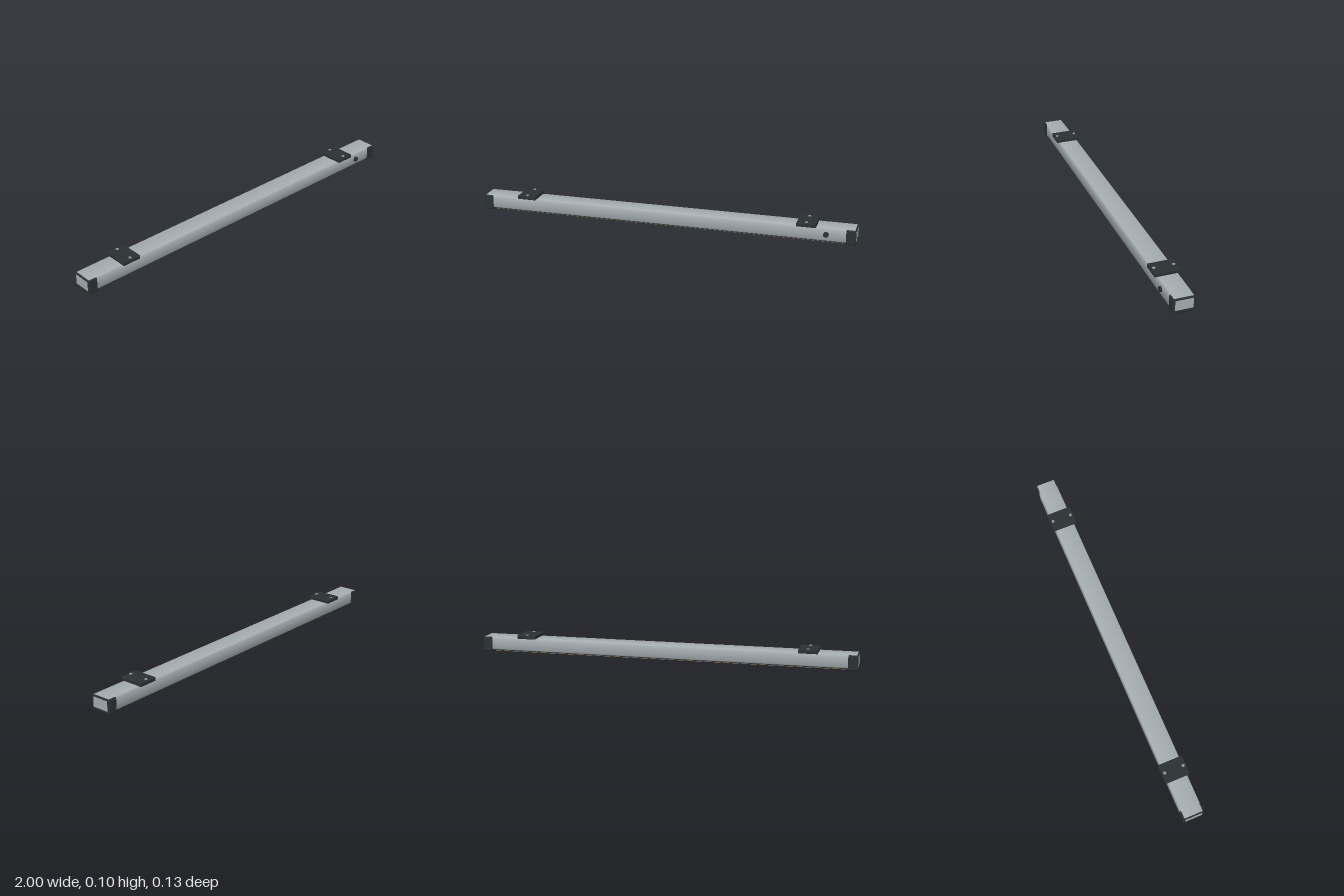
import * as THREE from 'three';
import { RoundedBoxGeometry } from 'three/addons/geometries/RoundedBoxGeometry.js';
import { toCreasedNormals } from 'three/addons/utils/BufferGeometryUtils.js';

const paint = (color) => new THREE.MeshStandardMaterial({ color });
const aluminium = paint(0xa6aeb2);
const plastic = paint(0x2b3133);
const diffuser = paint(0xa48c62);
const steel = paint(0x8c9296);

function add(parent, name, geometry, material, x = 0, y = 0, z = 0) {
  const mesh = new THREE.Mesh(geometry, material);
  mesh.name = name;
  mesh.position.set(x, y, z);
  parent.add(mesh);
  return mesh;
}

// Rounded rectangle in z and y, used as the rail's cross-section
function roundedSection(halfWidth, bottom, top, r) {
  const s = new THREE.Shape();
  s.absarc(halfWidth - r, bottom + r, r, -Math.PI / 2, 0);
  s.absarc(halfWidth - r, top - r, r, 0, Math.PI / 2);
  s.absarc(-halfWidth + r, top - r, r, Math.PI / 2, Math.PI);
  s.absarc(-halfWidth + r, bottom + r, r, Math.PI, Math.PI * 1.5);
  s.closePath();
  return s;
}

export function createModel() {
  const model = new THREE.Group();
  model.name = 'linearLamp';

  // Long extruded housing
  const length = 1.986;
  const rail = new THREE.ExtrudeGeometry(roundedSection(0.053, 0.01, 0.079, 0.007),
    { depth: length, bevelEnabled: false, curveSegments: 6 });
  rail.translate(0, 0, -length / 2);
  rail.rotateY(Math.PI / 2);
  add(model, 'housing', toCreasedNormals(rail, 0.6), aluminium);

  // Light strip underneath, in a dark seat
  add(model, 'stripSeat', new THREE.BoxGeometry(1.9, 0.006, 0.094), plastic, 0, 0.009);
  add(model, 'lightStrip', new THREE.BoxGeometry(1.87, 0.008, 0.084), diffuser, 0, 0.007);

  for (const side of [-1, 1]) {
    // End cap with its inset panel
    const end = new THREE.Group();
    end.name = side > 0 ? 'leftEndCap' : 'rightEndCap';
    model.add(end);
    add(end, 'cap', new RoundedBoxGeometry(0.05, 0.0783, 0.114, 3, 0.006), plastic, side * 0.9745, 0.0392);
    add(end, 'endPanel', new THREE.BoxGeometry(0.004, 0.052, 0.09), aluminium, side * 0.998, 0.0437);

    // Mounting bracket with two screws
    const bracket = new THREE.Group();
    bracket.name = side > 0 ? 'leftBracket' : 'rightBracket';
    bracket.position.x = side * 0.75;
    model.add(bracket);
    add(bracket, 'plate', new RoundedBoxGeometry(0.1, 0.02, 0.132, 3, 0.004), plastic, 0, 0.087);
    for (const z of [-0.05, 0.05])
      add(bracket, 'screw', new THREE.CylinderGeometry(0.008, 0.008, 0.006, 20), steel, 0, 0.097, z);
  }

  // Round switch on the front
  const button = new THREE.CylinderGeometry(0.014, 0.014, 0.012, 28).rotateX(Math.PI / 2);
  add(model, 'switchButton', button, plastic, 0.85, 0.045, 0.056);

  return model;
}
